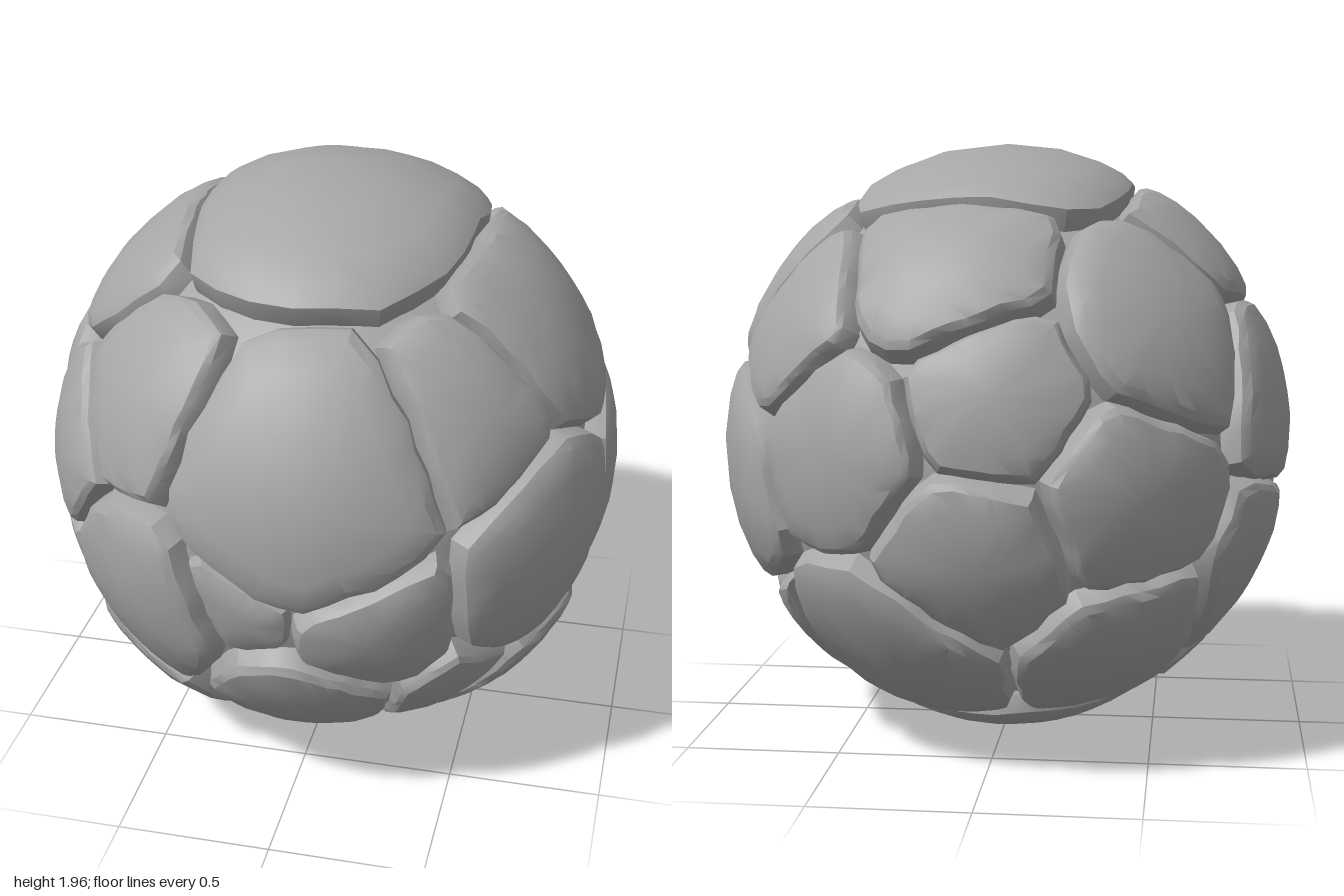
import * as THREE from 'three';
import { toCreasedNormals } from 'three/addons/utils/BufferGeometryUtils.js';

// Half axes of the slightly oval ball
const AXES = new THREE.Vector3(0.955, 0.975, 1.01);
const SIDES = 28;

// name, longitude (0 is front, 90 is +x), latitude, angular radius, optional lift
const STONES = [
  ['crownStone', 0, 90, 0.62],
  ['frontPlate', 7, 16, 0.45],
  ['frontChinStone', 20, -14, 0.32, -0.01],
  ['frontPebble', -6, -10, 0.25, -0.04],
  ['frontLowPlate', 4, -39, 0.37],
  ['rightFrontShield', -35, -17, 0.4],
  ['rightBrowBoulder', -38, 27, 0.29],
  ['rightCheekStone', -62, 8, 0.35],
  ['rightPlate', -97, 13, 0.44],
  ['rightShoulderStone', -90, 49, 0.46],
  ['rightBackBoulder', -136, 29, 0.4],
  ['rightLowStone', -103, -22, 0.37],
  ['rightSideStone', -71, -22, 0.3],
  ['rightFrontLowStone', -59, -45, 0.36, 0.03],
  ['leftBrowBoulder', 45, 27, 0.29],
  ['leftCrownPlate', 85, 41, 0.43],
  ['leftBackBoulder', 131, 28, 0.3],
  ['leftFrontPlate', 61, -7, 0.41],
  ['leftBackPlate', 106, -9, 0.42],
  ['leftLowBoulder', 75, -46, 0.34, 0.03],
  ['leftFrontLowStone', 44, -40, 0.28],
  ['leftLowPebble', 116, -41, 0.28],
  ['backHighPlate', 171, 42, 0.38],
  ['backUpperPlate', -176, 15, 0.34],
  ['backLeftBoulder', 152, 4, 0.33],
  ['backRightBoulder', -149, -5, 0.36],
  ['backMiddleStone', 180, -17, 0.36],
  ['backLowPlate', 153, -44, 0.43],
  ['backRightLowStone', -145, -41, 0.38],
  ['undersideStone', 0, -90, 0.45, 0.01],
].map(([name, longitude, latitude, radius, lift = 0]) => ({
  name,
  radius,
  crown: Math.min(1, 0.975 + 0.045 * radius) + lift,
  axis: new THREE.Vector3().setFromSphericalCoords(
    1, THREE.MathUtils.degToRad(90 - latitude), THREE.MathUtils.degToRad(longitude)),
}));

// Seeded random numbers, so the stones always chip the same way
function makeRandom(seed) {
  let s = seed;
  return () => (s = (s * 16807) % 2147483647) / 2147483647;
}

// Distance from a stone's axis to its rim: a soft minimum of its own
// reach and the borders it shares with the stones around it
function rimDistance(stone, direction) {
  const power = 14;
  let sum = Math.tan(stone.radius * 1.5) ** -power;
  for (const other of STONES) {
    const facing = direction.dot(other.axis);
    if (other === stone || facing < 0.05) continue;
    const border = Math.cos(other.radius) / Math.cos(stone.radius) - stone.axis.dot(other.axis);
    sum += Math.max(border / facing, 0.06) ** -power;
  }
  return sum ** (-1 / power);
}

// Chipped dome built from rings around an axis: crown, bevel, then steep side wall
function makeStone({ axis, crown, ...stone }, seed, self) {
  const random = makeRandom(seed * 7919 + 17);
  const pole = Math.abs(axis.y) > 0.9;
  const u = new THREE.Vector3(0, pole ? 0 : 1, pole ? -Math.sign(axis.y) : 0).cross(axis).normalize();
  const v = axis.clone().cross(u);
  const bevel = Math.min(0.09, 0.03 / stone.radius);

  // [outline scale, distance from the centre of the ball]
  const rings = [
    [0.35, crown - 0.001], [0.65, crown - 0.006], [0.84, crown - 0.014],
    [1 - bevel, crown - 0.03], [1.0, crown - 0.085], [1.03, 0.8],
  ];
  const rim = Array.from({ length: SIDES }, (_, i) => {
    const angle = (i / SIDES) * Math.PI * 2;
    const direction = u.clone().multiplyScalar(Math.cos(angle)).addScaledVector(v, Math.sin(angle));
    return direction.multiplyScalar(rimDistance(self, direction) * (0.98 + random() * 0.06));
  });
  const positions = axis.clone().multiplyScalar(crown).multiply(AXES).toArray();
  for (const [scale, distance] of rings) {
    for (const offset of rim) {
      const point = axis.clone().addScaledVector(offset, scale).normalize()
        .multiplyScalar(distance - random() * 0.008 * scale * scale).multiply(AXES);
      positions.push(point.x, point.y, point.z);
    }
  }

  const index = [];
  for (let i = 0; i < SIDES; i++) {
    const j = (i + 1) % SIDES;
    index.push(0, 1 + i, 1 + j);
    for (let r = 0; r < rings.length - 1; r++) {
      const m = 1 + r * SIDES, n = m + SIDES;
      index.push(m + i, n + i, n + j, m + i, n + j, m + j);
    }
  }
  const geometry = new THREE.BufferGeometry();
  geometry.setAttribute('position', new THREE.Float32BufferAttribute(positions, 3));
  geometry.setIndex(index);
  return toCreasedNormals(geometry, 0.5);
}

export function createModel() {
  const model = new THREE.Group();
  model.name = 'boulderBall';
  const rock = new THREE.MeshStandardMaterial({ color: 0xa6a6a6 });
  rock.name = 'greyRock';

  function addPart(name, geometry) {
    const mesh = new THREE.Mesh(geometry, rock);
    mesh.name = name;
    mesh.position.y = AXES.y;
    model.add(mesh);
  }

  // Core seen at the bottom of the cracks, then the stones around it
  addPart('core', new THREE.SphereGeometry(0.9, 32, 20).scale(AXES.x, AXES.y, AXES.z));
  STONES.forEach((stone, i) => addPart(stone.name, makeStone(stone, i + 1, stone)));
  return model;
}
